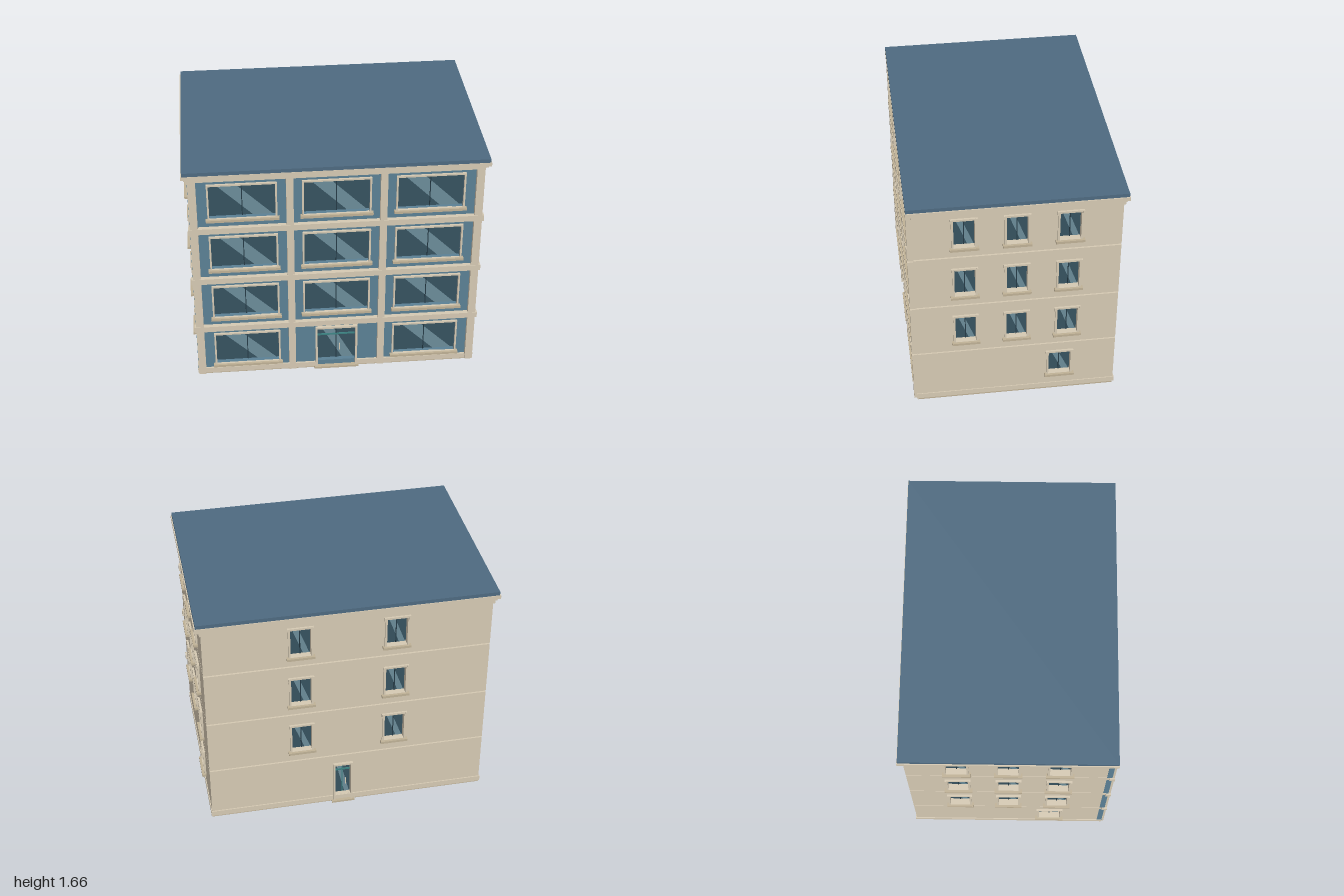
import * as THREE from 'three';

const mat = (color, side = THREE.FrontSide) => new THREE.MeshStandardMaterial({ color, side });
const STONE = mat(0xd5c9b3), SILL = mat(0xbfb196), PANEL = mat(0x5b8095), ROOF = mat(0x4e6a80);
const GLASS = mat(0x36525f), SHINE = mat(0x6b8c99, THREE.DoubleSide), DARK = mat(0x243a45), TEAL = mat(0x3b8080);

// Box given by its min and max along each axis
function box(parent, name, material, x0, x1, y0, y1, z0, z1) {
  const m = new THREE.Mesh(new THREE.BoxGeometry(x1 - x0, y1 - y0, z1 - z0), material);
  m.position.set((x0 + x1) / 2, (y0 + y1) / 2, (z0 + z1) / 2);
  m.name = name;
  parent.add(m);
  return m;
}

const polygon = (pts, Type = THREE.Shape) => new Type(pts.map(([x, y]) => new THREE.Vector2(x, y)));
const rect = (x0, x1, y0, y1, Type) => polygon([[x0, y0], [x1, y0], [x1, y1], [x0, y1]], Type);

// Slab with rectangular holes, lying between z0 and z1
function slab(parent, name, material, outline, holes, z0, z1) {
  const shape = rect(...outline);
  shape.holes = holes.map(h => rect(...h, THREE.Path));
  const g = new THREE.ExtrudeGeometry(shape, { depth: z1 - z0, bevelEnabled: false });
  const m = new THREE.Mesh(g, material);
  m.position.z = z0;
  m.name = name;
  parent.add(m);
}

// Recessed glass with a slanted reflection, shared by windows and doors
function glazing(parent, x0, x1, y0, y1) {
  const w = x1 - x0;
  box(parent, 'glass', GLASS, x0, x1, y0, y1, -0.036, -0.03);
  const shine = new THREE.Mesh(new THREE.ShapeGeometry(polygon([
    [x0 + w * 0.08, y1], [x0 + w * 0.38, y1], [x0 + w * 0.96, y0], [x0 + w * 0.66, y0],
  ])), SHINE);
  shine.position.z = -0.0285;
  shine.name = 'glassReflection';
  parent.add(shine);
}

function makeWindow(o) {
  const g = new THREE.Group();
  g.name = 'window';
  const { x, w, y0, y1, trim } = o, x0 = x - w / 2, x1 = x + w / 2;
  glazing(g, x0, x1, y0, y1);
  box(g, 'mullion', DARK, x - 0.003, x + 0.003, y0, y1, -0.03, -0.024);
  slab(g, 'windowTrim', STONE, [x0 - trim, x1 + trim, y0 - trim, y1 + trim], [[x0, x1, y0, y1]], -0.005, 0.014);
  if (o.ears) {
    for (const s of [-1, 1]) {
      const e = x + s * (w / 2 + trim);
      box(g, 'trimEar', STONE, e - 0.005, e + 0.005, y1 - 0.012, y1 + trim, 0, 0.017);
    }
  }
  box(g, 'windowSill', SILL, x0 - trim - 0.012, x1 + trim + 0.012, y0 - 0.018, y0 - 0.001, -0.005, 0.03);
  return g;
}

function makeDoor(o) {
  const g = new THREE.Group();
  g.name = 'door';
  const { x, w, y0, y1 } = o, x0 = x - w / 2, x1 = x + w / 2, t = 0.014;
  glazing(g, x0, x1, y0, y1);
  box(g, 'doorMullion', o.wide ? DARK : TEAL, x - 0.003, x + 0.003, y0, y1, -0.03, -0.024);
  box(g, 'transomBar', TEAL, x0, x1, 0.262, 0.272, -0.03, -0.021);
  box(g, 'doorHandle', STONE, x + 0.022, x + 0.028, 0.13, 0.18, -0.03, -0.018);
  // Frame sides, head and step
  box(g, 'doorJamb', STONE, x0 - t, x0, 0.015, y1 + t, -0.005, 0.02);
  box(g, 'doorJamb', STONE, x1, x1 + t, 0.015, y1 + t, -0.005, 0.02);
  box(g, 'doorHead', STONE, x0, x1, y1, y1 + t, -0.005, 0.02);
  box(g, 'doorStep', SILL, x0 - 0.025, x1 + 0.025, 0.008, 0.022, -0.005, 0.03);
  return g;
}

// One wall: slabs pierced by the openings, with windows and doors set in
function facade(name, material, [u0, u1], floors, openings) {
  const g = new THREE.Group();
  g.name = name;
  for (const [a, b] of floors) {
    const holes = openings.filter(o => o.y0 > a && o.y1 < b)
      .map(o => [o.x - o.w / 2, o.x + o.w / 2, o.y0, o.y1]);
    slab(g, 'wallPanel', material, [u0, u1, a, b], holes, -0.05, 0);
  }
  for (const o of openings) g.add(o.door ? makeDoor(o) : makeWindow(o));
  return g;
}

export function createModel() {
  const root = new THREE.Group();
  root.name = 'building';
  const W = 0.96, BACK = -0.678, FRONT = 0.675, PIER = 0.703;
  const floors = [[0.015, 0.415], [0.425, 0.82], [0.83, 1.225], [1.235, 1.605]];

  // Inner core closes the floor grooves
  box(root, 'core', STONE, -W + 0.036, W - 0.036, 0.012, 1.6, BACK + 0.036, FRONT - 0.036);
  box(root, 'baseSlab', SILL, -W, W, 0, 0.016, -0.675, 0.675);

  // Front: wide windows on every floor, door in the ground floor centre
  const frontOpenings = [];
  for (let f = 0; f < 4; f++) {
    for (const x of [-0.615, 0, 0.615]) {
      if (f === 0 && x === 0) continue;
      frontOpenings.push({ x, w: 0.43, y0: 0.09 + 0.4 * f, y1: 0.338 + 0.4 * f, trim: 0.012 });
    }
  }
  frontOpenings.push({ door: true, wide: true, x: 0, w: 0.262, y0: 0.058, y1: 0.345 });
  const front = facade('frontWall', PANEL, [-0.93, 0.93], [[0.016, 1.6]], frontOpenings);
  front.position.z = FRONT;
  root.add(front);

  // Narrow windows of the upper floors
  const upper = xs => [1, 2, 3].flatMap(f => xs.map(x => (
    { x, w: 0.136, y0: 0.113 + 0.4 * f, y1: 0.325 + 0.4 * f, trim: 0.014, ears: true })));

  // Sides
  const sideOpenings = [...upper([-0.34, 0, 0.34]),
    { x: 0.297, w: 0.15, y0: 0.15, y1: 0.338, trim: 0.014, ears: true }];
  const mirrored = sideOpenings.map(o => ({ ...o }));
  const left = facade('leftWall', STONE, [-FRONT, -BACK], floors, sideOpenings);
  left.rotation.y = Math.PI / 2;
  left.position.x = W;
  const right = facade('rightWall', STONE, [BACK, FRONT], floors, mirrored);
  right.rotation.y = -Math.PI / 2;
  right.position.x = -W;

  // Back
  const back = facade('backWall', STONE, [-W + 0.05, W - 0.05], floors,
    [...upper([-0.32, 0.32]), { door: true, x: -0.035, w: 0.11, y0: 0.056, y1: 0.335 }]);
  back.rotation.y = Math.PI;
  back.position.z = BACK;
  root.add(left, right, back);

  // Front piers and floor bands
  for (const s of [-1, 1]) {
    for (const [a, b] of [[0.283, 0.33], [0.908, W]]) {
      box(root, 'pier', STONE, Math.min(s * a, s * b), Math.max(s * a, s * b), 0.018, 1.6, FRONT - 0.01, PIER);
    }
  }
  for (const y of [0.385, 0.785, 1.185]) {
    box(root, 'floorBand', STONE, -0.972, 0.972, y, y + 0.042, 0.668, 0.706);
  }
  box(root, 'topBand', STONE, -W, W, 1.583, 1.605, FRONT - 0.01, PIER);

  // Blue return strips beside the front pier
  for (const y of [0.02, 0.427, 0.827, 1.227]) {
    box(root, 'panelReturn', PANEL, -W - 0.0015, -W + 0.01, y, y + 0.345, 0.652, 0.688);
  }

  // Plinth, broken at the front door
  box(root, 'plinth', STONE, -W - 0.006, W + 0.006, 0.016, 0.055, BACK - 0.008, BACK + 0.03);
  for (const s of [-1, 1]) {
    box(root, 'plinth', STONE, s * W - 0.006, s * W + 0.006, 0.016, 0.055, BACK, 0.685);
    box(root, 'plinth', STONE, s * 0.54 - 0.4, s * 0.54 + 0.4, 0.016, 0.055, FRONT - 0.01, 0.688);
  }

  // Cornice and flat roof
  box(root, 'frieze', STONE, -0.97, 0.97, 1.558, 1.588, BACK - 0.01, 0.672);
  box(root, 'corniceStep', STONE, -0.982, 0.982, 1.586, 1.606, BACK - 0.016, 0.69);
  box(root, 'cornice', STONE, -1, 1, 1.604, 1.63, -0.709, 0.706);
  box(root, 'roof', ROOF, -0.993, 0.993, 1.63, 1.656, -0.704, 0.704);
  return root;
}
